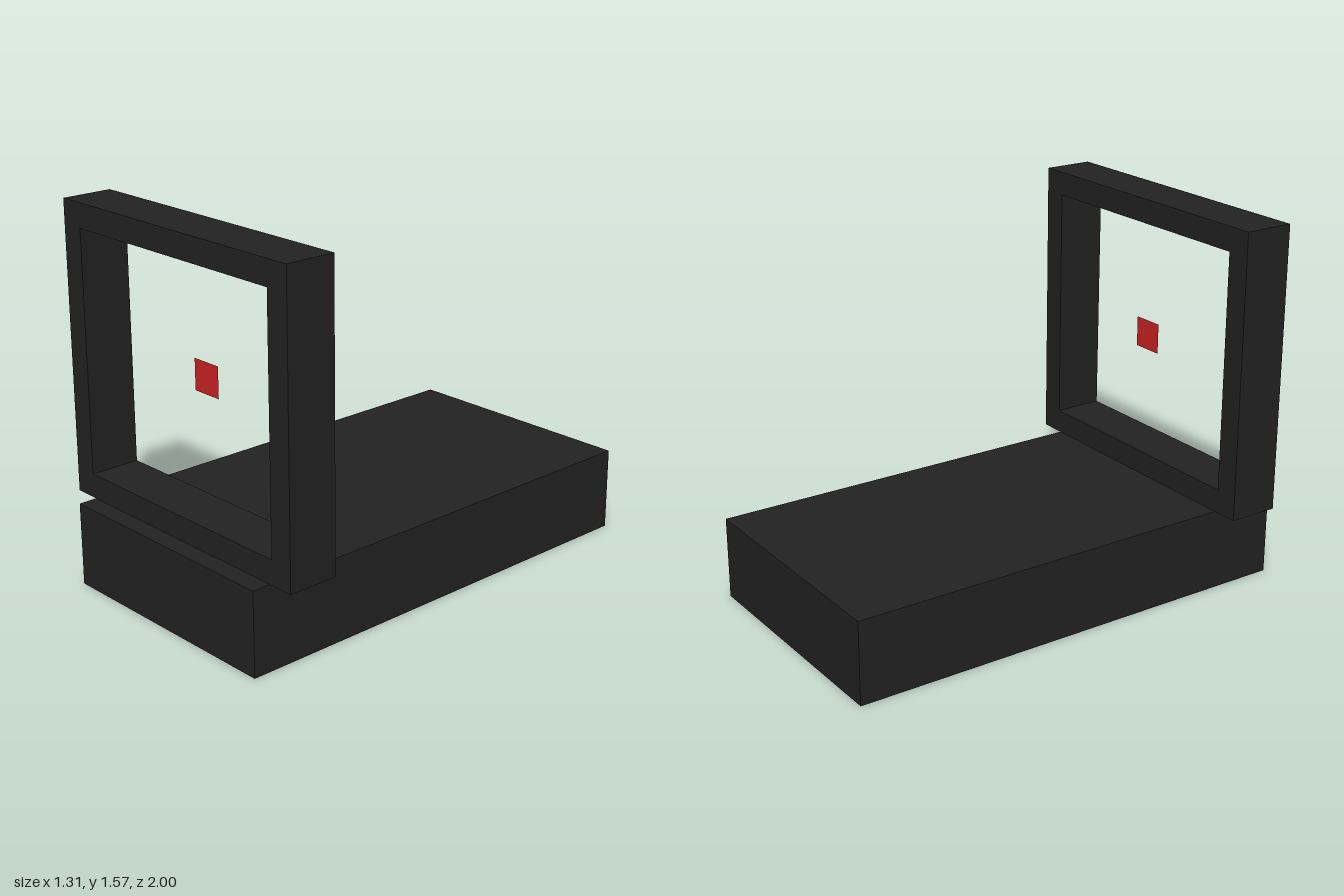
import * as THREE from 'three';

export function createModel() {
  const model = new THREE.Group();
  const black = new THREE.MeshStandardMaterial({ color: 0x222222 });
  black.name = 'matte black';
  const red = new THREE.MeshStandardMaterial({ color: 0xcc2222, side: THREE.DoubleSide });
  red.name = 'reticle red';

  const add = (name, geometry, material, x, y, z) => {
    const mesh = new THREE.Mesh(geometry, material);
    mesh.name = name;
    mesh.position.set(x, y, z);
    model.add(mesh);
  };

  // Long flat base
  const baseHeight = 0.353;
  add('base', new THREE.BoxGeometry(1.08, baseHeight, 2), black, 0, baseHeight / 2, 0);

  // Upright window frame: one extruded outline with a rectangular opening
  const rectangle = (Type, halfWidth, bottom, top) => new Type([
    new THREE.Vector2(-halfWidth, bottom),
    new THREE.Vector2(halfWidth, bottom),
    new THREE.Vector2(halfWidth, top),
    new THREE.Vector2(-halfWidth, top),
  ]);
  const outline = rectangle(THREE.Shape, 0.655, baseHeight, 1.572);
  outline.holes.push(rectangle(THREE.Path, 0.552, 0.455, 1.47));
  const frame = new THREE.ExtrudeGeometry(outline, { depth: 0.217, bevelEnabled: false });
  add('windowFrame', frame, black, 0, 0, 0.704);

  // Small flat aiming mark floating in the opening
  add('aimingMark', new THREE.PlaneGeometry(0.14, 0.13), red, 0, 0.964, 0.76);

  return model;
}
